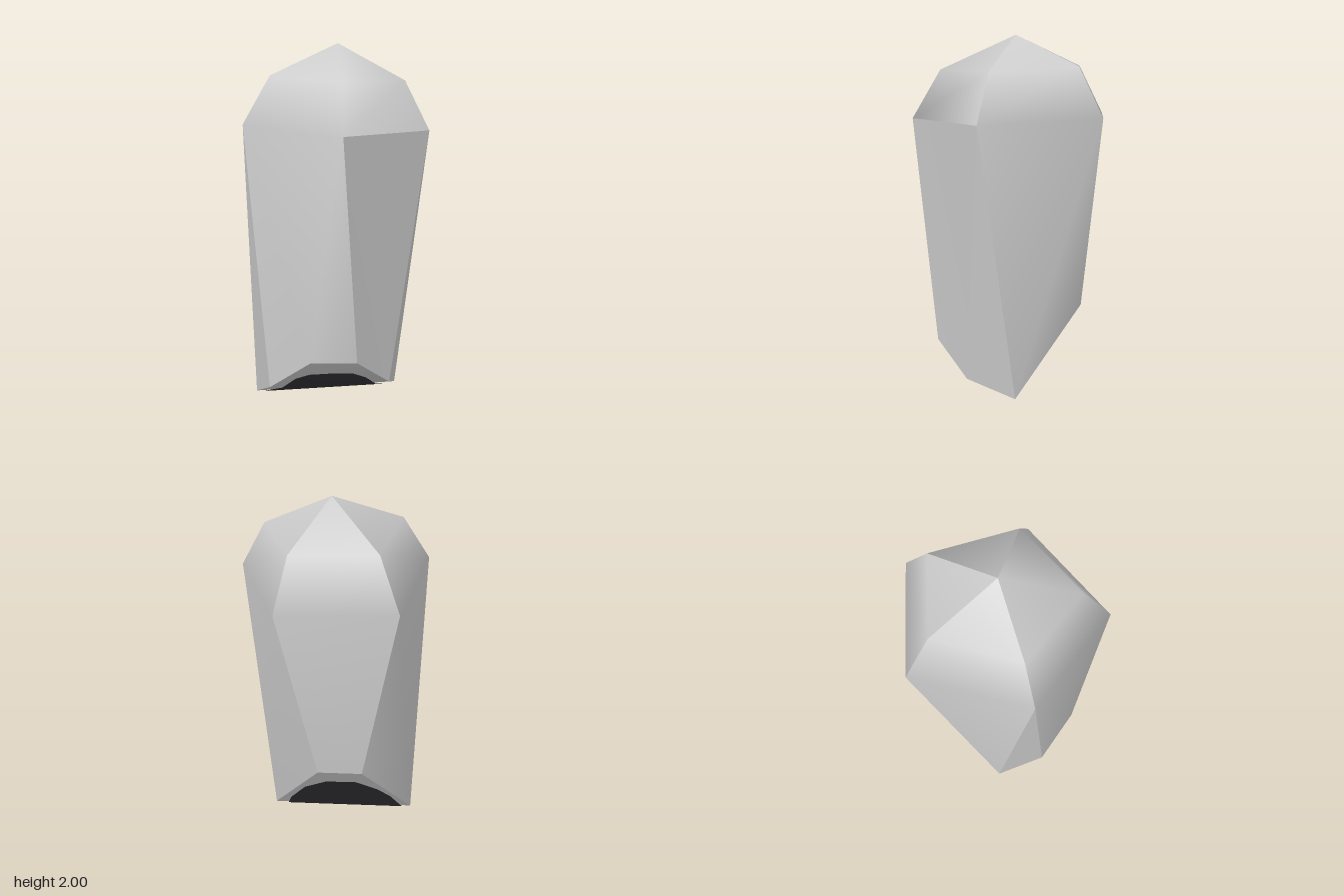
import * as THREE from 'three';

// Corner points of the crystal
const P = {
  apex: [0.02, 2, -0.05],
  // shoulder ring
  sF: [0.01, 1.81, 0.37], sR: [0.38, 1.8, 0.07], sBR: [0.24, 1.83, -0.4], sBL: [-0.22, 1.83, -0.4], sL: [-0.36, 1.83, 0.07],
  // widest ring
  wF: [0, 1.54, 0.53], wR: [0.51, 1.53, 0.12], wBR: [0.315, 1.56, -0.53], wBL: [-0.32, 1.56, -0.53], wL: [-0.51, 1.57, 0.12],
  // wedge-shaped foot
  fFL: [-0.165, 0.3, 0.385], fFR: [0.09, 0.295, 0.385], fL: [-0.38, 0.11, 0.2], fR: [0.29, 0.125, 0.2],
  ridgeL: [-0.45, 0, -0.07], ridgeR: [0.355, 0.035, -0.07], fBL: [-0.145, 0.5, -0.42], fBR: [0.1, 0.51, -0.42],
};

// Smooth surface from polygons (each fanned from its first corner), always facing outward
function surface(name, polygons, material, lift = [0, 0, 0]) {
  const points = [], index = [], ids = new Map();
  const id = (p) => {
    const key = p.join();
    if (!ids.has(key)) {
      ids.set(key, points.length);
      points.push(new THREE.Vector3(...p).add(new THREE.Vector3(...lift)));
    }
    return ids.get(key);
  };
  const inside = new THREE.Vector3(0, 1, 0);
  for (const poly of polygons) {
    const c = poly.map((p) => id(typeof p === 'string' ? P[p] : p));
    for (let i = 1; i < c.length - 1; i++) {
      const [a, b, d] = [points[c[0]], points[c[i]], points[c[i + 1]]];
      const n = b.clone().sub(a).cross(d.clone().sub(a));
      const outward = n.dot(a.clone().sub(inside)) > 0;
      index.push(c[0], ...(outward ? [c[i], c[i + 1]] : [c[i + 1], c[i]]));
    }
  }
  const geometry = new THREE.BufferGeometry().setFromPoints(points);
  geometry.setIndex(index);
  geometry.computeVertexNormals();
  const mesh = new THREE.Mesh(geometry, material);
  mesh.name = name;
  return mesh;
}

// Dome segment above one side of the widest ring
const dome = (a, b) => [['w' + a, 'w' + b, 's' + b, 's' + a], ['s' + a, 's' + b, 'apex']];

export function createModel() {
  const stone = new THREE.MeshStandardMaterial({ color: 0xcccccc });
  stone.name = 'paleGrey';
  const dark = new THREE.MeshStandardMaterial({ color: 0x323136 });
  dark.name = 'nearBlack';
  const model = new THREE.Group();
  model.name = 'crystal';

  model.add(
    // rounded front: left wall flowing into both front dome segments
    surface('frontWallAndDome', [['wL', 'fL', 'fFL'], ['wL', 'fFL', 'wF'], ['wF', 'fFL', 'fFR'],
      ...dome('L', 'F'), ...dome('F', 'R')], stone),
    // flat facets
    surface('frontFacet', [['wF', 'wR', 'fR', 'fFR']], stone),
    surface('rightSliver', [['wR', 'fR', 'ridgeR']], stone),
    surface('leftSliver', [['wL', 'fL', 'ridgeL']], stone),
    // side and back walls, each smooth with its dome segment
    surface('rightWall', [['wBR', 'wR', 'ridgeR', 'fBR'], ...dome('R', 'BR')], stone),
    surface('leftWall', [['wBL', 'wL', 'ridgeL', 'fBL'], ...dome('L', 'BL')], stone),
    surface('backWall', [['wBR', 'wBL', 'fBL', 'fBR'], ...dome('BR', 'BL')], stone),
    // slanted underside
    surface('frontUnderside', [['ridgeL', 'ridgeR', 'fR', 'fL'], ['fL', 'fR', 'fFR', 'fFL']], stone),
    surface('backUnderside', [['ridgeL', 'ridgeR', 'fBR', 'fBL']], stone),
  );

  // dark patches lying just off the underside
  const ridgeA = [-0.4, 0.002, -0.07], ridgeB = [0.285, 0.032, -0.07];
  const creaseA = [-0.31, 0.112, 0.2], creaseB = [0.21, 0.123, 0.2];
  model.add(
    surface('frontDarkPatch', [
      [ridgeA, ridgeB, [0.275, 0.075, 0.07], creaseB, creaseA, [-0.385, 0.055, 0.07]],
      [creaseA, creaseB, [0.15, 0.18, 0.262], [0.08, 0.215, 0.3], [-0.02, 0.222, 0.306], [-0.165, 0.215, 0.299], [-0.24, 0.185, 0.272]],
    ], dark, [0, -0.005, 0.004]),
    surface('backDarkPatch', [[ridgeA, ridgeB, [0.263, 0.129, -0.14], [0.177, 0.3, -0.266], [0.059, 0.39, -0.335],
      [-0.108, 0.394, -0.343], [-0.24, 0.283, -0.267], [-0.318, 0.174, -0.19]]], dark, [0, -0.004, -0.005]),
  );
  return model;
}
